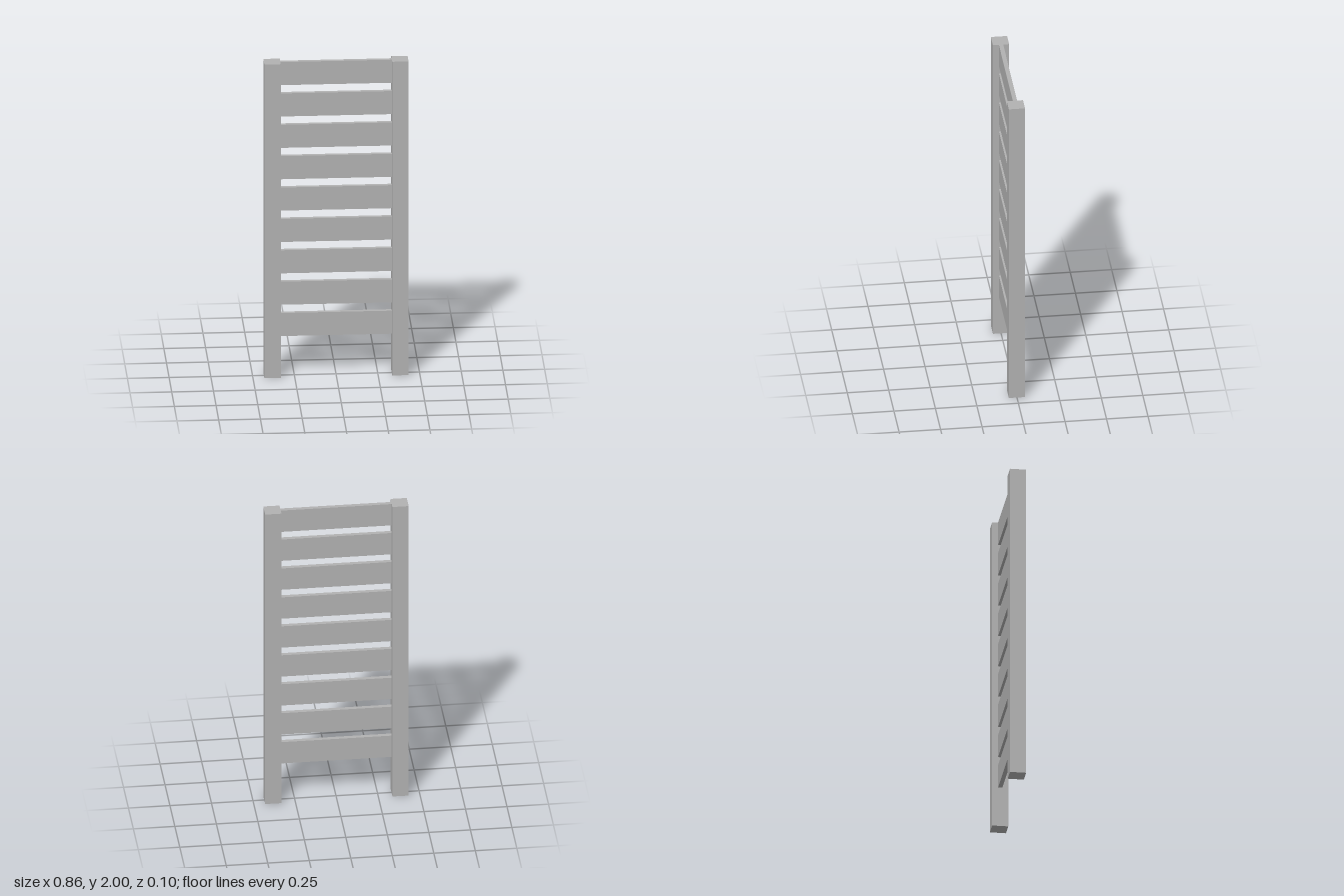
import * as THREE from 'three';

export function createModel() {
  const group = new THREE.Group();
  group.name = 'slattedPanel';
  const grey = new THREE.MeshStandardMaterial({ color: 0xb2b2b2 });
  grey.name = 'grey';

  const addBox = (name, w, h, d, x, y) => {
    const mesh = new THREE.Mesh(new THREE.BoxGeometry(w, h, d), grey);
    mesh.name = name;
    mesh.position.set(x, y, 0);
    group.add(mesh);
  };

  // Square upright posts
  const postSize = 0.098, postX = 0.383;
  addBox('leftPost', postSize, 2, postSize, postX, 1);
  addBox('rightPost', postSize, 2, postSize, -postX, 1);

  // Thin horizontal slats, the top one flush with the posts
  const slatHeight = 0.147, slatWidth = 2 * postX - postSize;
  for (let i = 0; i < 9; i++) {
    addBox(`slat${i + 1}`, slatWidth, slatHeight, 0.026, 0, 0.4 + i * 0.2 - slatHeight / 2);
  }
  return group;
}
